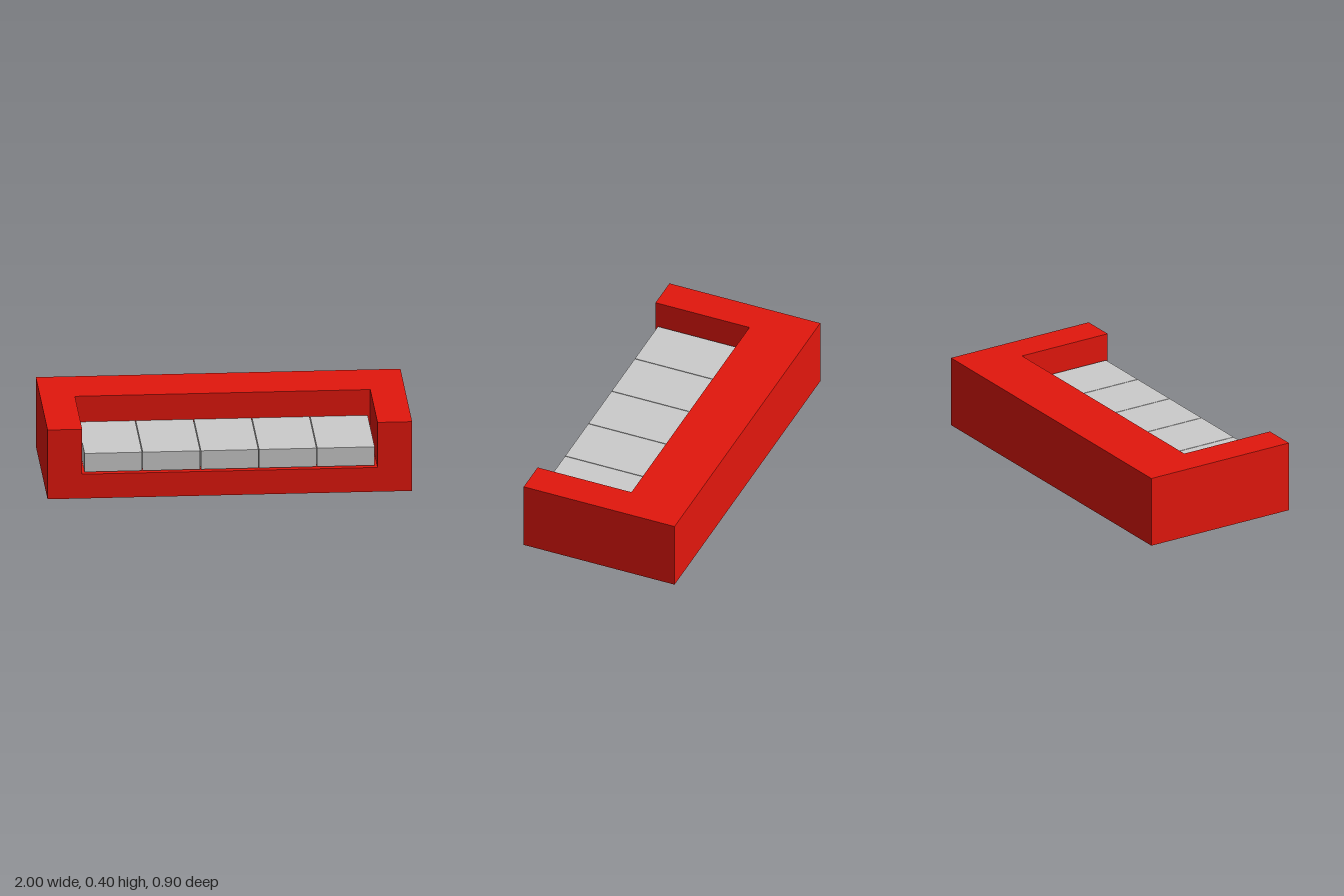
import * as THREE from 'three';

export function createModel() {
  const model = new THREE.Group();
  const red = new THREE.MeshStandardMaterial({ color: 0xe3170d });
  const grey = new THREE.MeshStandardMaterial({ color: 0xcccccc });

  const halfW = 1, halfD = 0.45, height = 0.4;
  const recessX = 0.81, recessBack = -0.11, floorY = 0.14;

  function box(name, w, h, d, x, y, z, material) {
    const mesh = new THREE.Mesh(new THREE.BoxGeometry(w, h, d), material);
    mesh.name = name;
    mesh.position.set(x, y, z);
    model.add(mesh);
  }

  // Solid base below the cushions
  box('base', 2 * halfW, floorY, 2 * halfD, 0, floorY / 2, 0, red);

  // U-shaped backrest and arms in one piece (shape y becomes -z)
  const outline = new THREE.Shape([
    [-halfW, -halfD], [-recessX, -halfD], [-recessX, -recessBack], [recessX, -recessBack],
    [recessX, -halfD], [halfW, -halfD], [halfW, halfD], [-halfW, halfD],
  ].map(([x, y]) => new THREE.Vector2(x, y)));
  const surroundGeometry = new THREE.ExtrudeGeometry(outline, { depth: height - floorY, bevelEnabled: false });
  surroundGeometry.rotateX(-Math.PI / 2);
  const surround = new THREE.Mesh(surroundGeometry, red);
  surround.name = 'backrestAndArms';
  surround.position.y = floorY;
  model.add(surround);

  // Row of five seat cushions with narrow gaps
  const pitch = 0.319;
  for (let i = 0; i < 5; i++) {
    box(`seatCushion${i + 1}`, 0.315, 0.107, 0.537, (i - 2) * pitch, 0.199, 0.161, grey);
  }

  return model;
}
